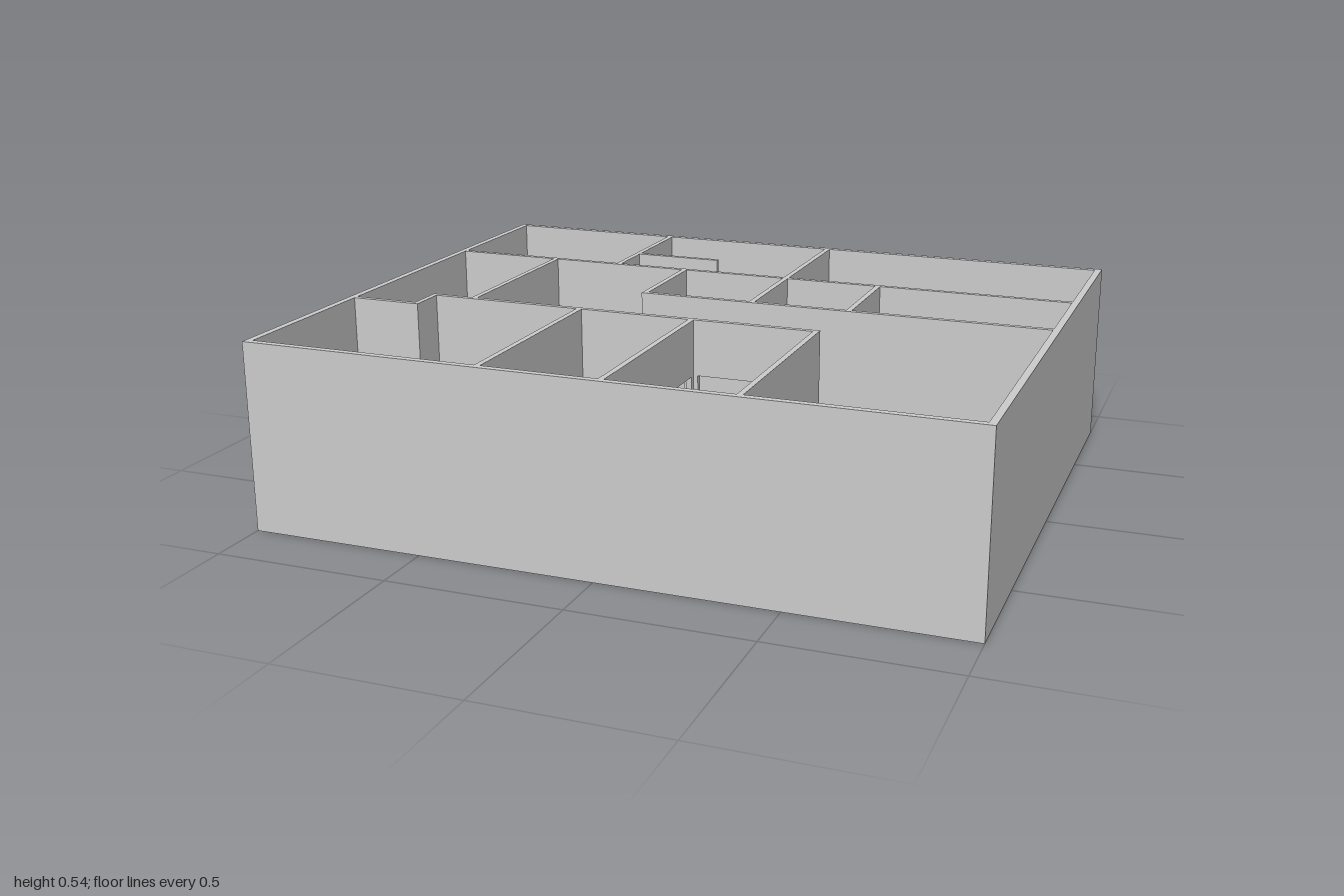
import * as THREE from 'three';

const H = 0.535, DOOR_H = 0.375, OUTER = 0.02, INNER = 0.016;
const X = 1, Z = 0.825;
const material = new THREE.MeshStandardMaterial({ color: 0xcccccc, flatShading: true });

// A straight wall from a to b whose outline is notched by doorways [from, to] at floor level.
function wall(name, axis, at, a, b, doors = [], thickness = INNER) {
  const s = new THREE.Shape();
  s.moveTo(a, 0);
  for (const [from, to] of doors) {
    s.lineTo(from, 0);
    s.lineTo(from, DOOR_H);
    s.lineTo(to, DOOR_H);
    s.lineTo(to, 0);
  }
  s.lineTo(b, 0);
  s.lineTo(b, H);
  s.lineTo(a, H);
  s.closePath();
  const geometry = new THREE.ExtrudeGeometry(s, { depth: thickness, bevelEnabled: false });
  geometry.translate(0, 0, -thickness / 2);
  if (axis === 'z') {
    geometry.rotateY(-Math.PI / 2); // length now runs along +z
    geometry.translate(at, 0, 0);
  } else {
    geometry.translate(0, 0, at);
  }
  const mesh = new THREE.Mesh(geometry, material);
  mesh.name = name;
  return mesh;
}

export function createModel() {
  const group = new THREE.Group();
  group.name = 'floorPlan';

  // Outer shell, one closed ring
  const shell = new THREE.Shape();
  const rect = (path, x, z) => path.moveTo(-x, -z).lineTo(x, -z).lineTo(x, z).lineTo(-x, z).closePath();
  rect(shell, X, Z);
  const inside = new THREE.Path();
  rect(inside, X - OUTER, Z - OUTER);
  shell.holes.push(inside);
  const ring = new THREE.ExtrudeGeometry(shell, { depth: H, bevelEnabled: false });
  ring.rotateX(-Math.PI / 2);
  const outer = new THREE.Mesh(ring, material);
  outer.name = 'outerWalls';
  group.add(outer);

  const xi = X - OUTER, zi = Z - OUTER, e = INNER / 2;

  // Walls running along x: [name, z, from, to, doorways]
  const alongX = [
    ['backCorridorWall', -0.37, -xi, xi, [[-0.62, -0.455], [0.15, 0.32]]],
    ['backRoomPartition', -0.53, -0.44, -0.165],
    ['middleRoomsWall', -0.05, -0.215 - e, xi, [[0.15, 0.32]]],
    ['frontCorridorWall', 0.19, -0.78 - e, 0.385 + e, [[-0.59, -0.42], [-0.155, 0.005], [0.045, 0.205]]],
    ['cornerStepWall', 0.3, -xi, -0.78 + e],
  ];
  // Walls running along z: [name, x, from, to, doorways]
  const alongZ = [
    ['backRoomDividerRight', -0.44, -zi, -0.37],
    ['backRoomDividerLeft', 0.115, -zi, -0.37, [[-0.54, -0.385]]],
    ['sideRoomWall', -0.655, -0.37, 0.19, [[0.0, 0.17]]],
    ['middleRoomEndWall', -0.215, -0.37, -0.05],
    ['middleRoomDividerRight', 0.115, -0.37, -0.05, [[-0.25, -0.085]]],
    ['middleRoomDividerLeft', 0.405, -0.37, -0.05, [[-0.25, -0.085]]],
    ['cornerStepReturn', -0.78, 0.19, 0.3],
    ['frontRoomDividerRight', -0.315, 0.19, zi],
    ['frontRoomDividerMiddle', 0.025, 0.19, zi, [[0.215, 0.365]]],
    ['frontRoomDividerLeft', 0.385, 0.19, zi],
  ];
  for (const [name, z, a, b, doors] of alongX) group.add(wall(name, 'x', z, a, b, doors));
  for (const [name, x, a, b, doors] of alongZ) group.add(wall(name, 'z', x, a, b, doors));

  return group;
}
